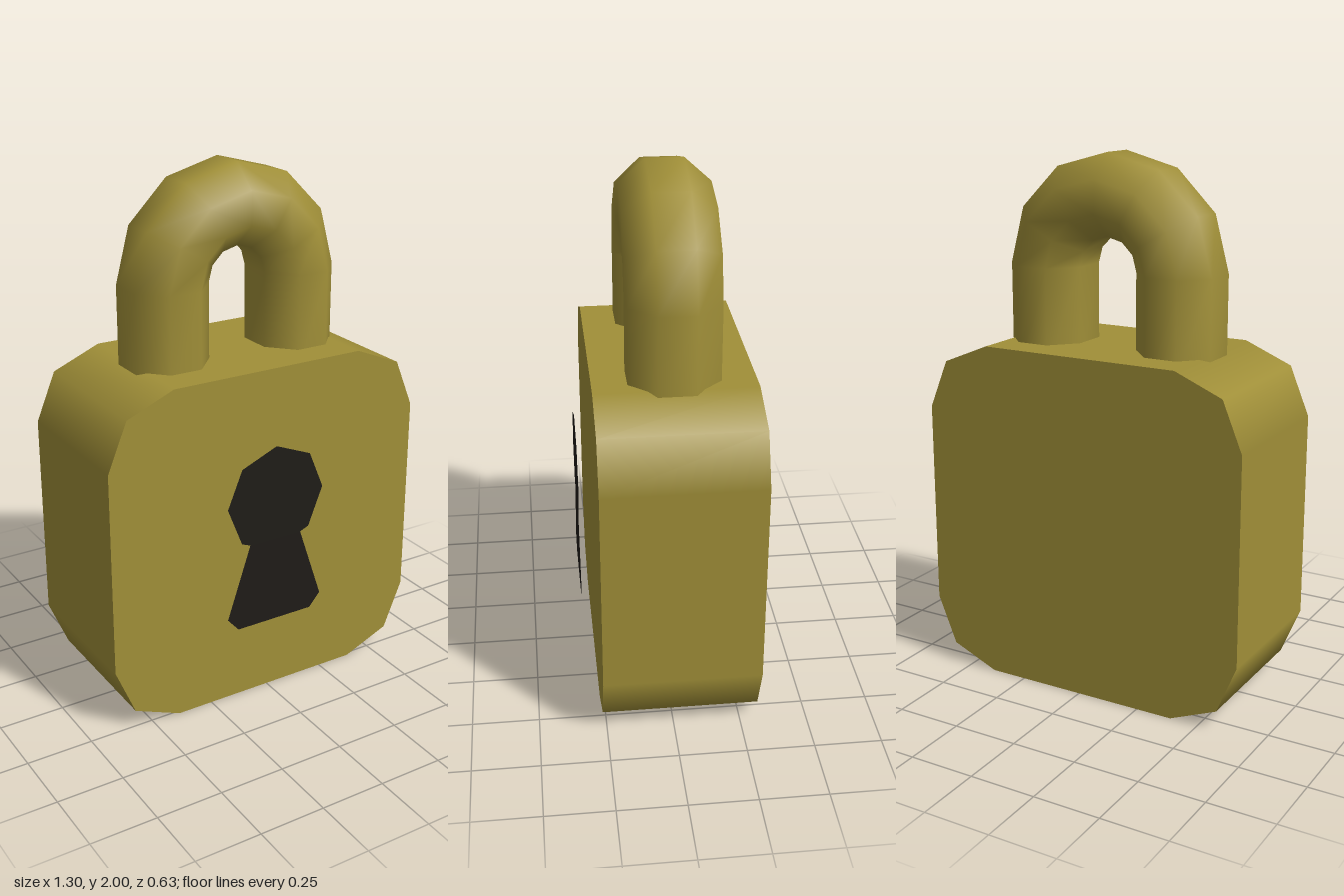
import * as THREE from 'three';

const BRASS = 0xa08f38, DARK = 0x1f1c18;

function part(name, geometry, color, side = THREE.FrontSide) {
  const mesh = new THREE.Mesh(geometry, new THREE.MeshStandardMaterial({ color, side }));
  mesh.name = name;
  return mesh;
}

// Rounded square slab: two-step corners, smooth rim, flat faces
function bodyGeometry() {
  const half = 0.39, r = 0.26, cy = 0.652;
  const points = [];
  for (let c = 0; c < 4; c++) {
    const sx = c === 0 || c === 3 ? 1 : -1, sy = c < 2 ? 1 : -1;
    for (let k = 0; k < 3; k++) {
      const a = (c * 2 + k) * Math.PI / 4;
      points.push(new THREE.Vector2(sx * half + r * Math.cos(a), cy + sy * half + r * Math.sin(a)));
    }
  }
  const geo = new THREE.ExtrudeGeometry(new THREE.Shape(points), { depth: 0.58, bevelEnabled: false });
  geo.translate(0, 0, -0.315);
  // Rim normals radiate from each corner's centre
  const p = geo.attributes.position, n = geo.attributes.normal;
  for (let i = 0; i < p.count; i++) {
    if (Math.abs(n.getZ(i)) > 0.5) continue;
    const x = p.getX(i), y = p.getY(i) - cy;
    const v = new THREE.Vector2(x - Math.sign(x) * half, y - Math.sign(y) * half).normalize();
    n.setXYZ(i, v.x, v.y, 0);
  }
  return geo;
}

// Eight-sided bar swept up one leg, round a half circle and down the other
function shackleGeometry() {
  const sides = 8, bend = 0.268, springY = 1.585, zMid = -0.025;
  const stations = [[0, 1.2]];
  for (let k = 0; k <= 6; k++) stations.push([k * Math.PI / 6, springY]);
  stations.push([Math.PI, 1.2]);

  const pos = [], idx = [];
  stations.forEach(([a, y], i) => {
    for (let j = 0; j < sides; j++) {
      const t = (j + 0.5) * 2 * Math.PI / sides;
      const r = bend + 0.162 * Math.cos(t);
      pos.push(r * Math.cos(a), y + r * Math.sin(a), zMid + 0.178 * Math.sin(t));
      if (i === stations.length - 1) continue;
      const p = i * sides + j, q = i * sides + (j + 1) % sides;
      idx.push(p, p + sides, q, q, p + sides, q + sides);
    }
  });
  const geo = new THREE.BufferGeometry();
  geo.setAttribute('position', new THREE.Float32BufferAttribute(pos, 3));
  geo.setIndex(idx);
  geo.computeVertexNormals();
  return geo;
}

// Flat keyhole plate just in front of the body, mirrored from its right half
function keyholeGeometry() {
  const rightHalf = [[0.16, 0.318], [0.206, 0.37], [0.11, 0.655], [0.146, 0.67], [0.206, 0.82], [0.146, 0.965]];
  const leftHalf = rightHalf.map(([x, y]) => [-x, y]).reverse();
  const outline = [...rightHalf, [0, 1.025], ...leftHalf];
  const geo = new THREE.ShapeGeometry(new THREE.Shape(outline.map(([x, y]) => new THREE.Vector2(x, y))));
  return geo.translate(0, 0, 0.315);
}

export function createModel() {
  const group = new THREE.Group();
  group.name = 'padlock';
  group.add(
    part('body', bodyGeometry(), BRASS),
    part('shackle', shackleGeometry(), BRASS),
    part('keyhole', keyholeGeometry(), DARK, THREE.DoubleSide)
  );
  return group;
}
